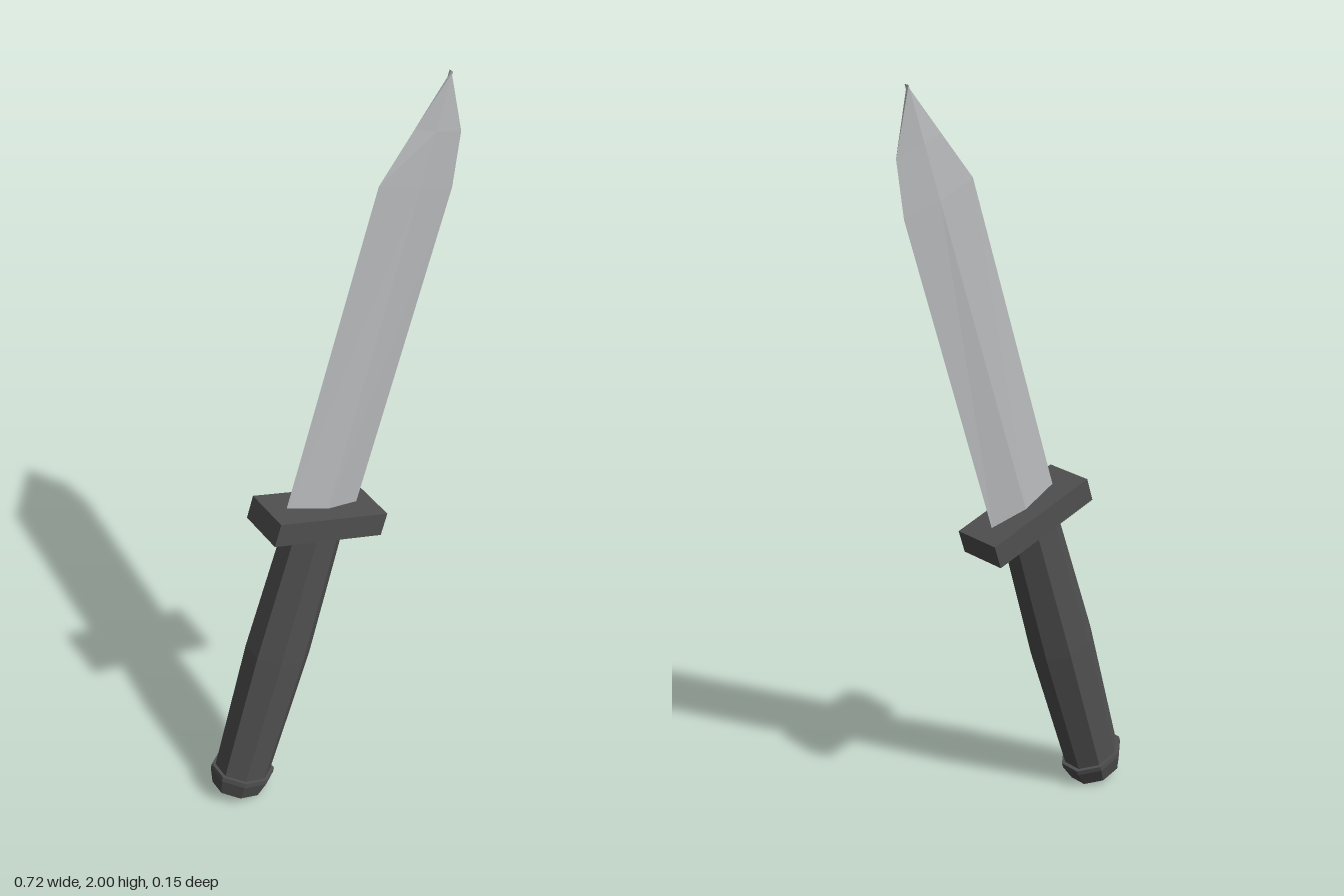
import * as THREE from 'three';

const flat = (name, color) => {
  const m = new THREE.MeshStandardMaterial({ color, flatShading: true });
  m.name = name;
  return m;
};

// Diamond-section blade: each station is [height, left edge, ridge x, right edge, ridge half thickness]
function bladeGeometry(stations) {
  const rings = stations.map(([y, left, ridge, right, t]) => [
    [left, y, 0], [ridge, y, t], [right, y, 0], [ridge, y, -t],
  ]);
  const pos = [];
  for (let s = 0; s < rings.length - 1; s++) {
    for (let i = 0; i < 4; i++) {
      const j = (i + 1) % 4;
      const a = rings[s][i], b = rings[s][j], c = rings[s + 1][j], d = rings[s + 1][i];
      pos.push(...a, ...b, ...c, ...a, ...c, ...d);
    }
  }
  const g = new THREE.BufferGeometry();
  g.setAttribute('position', new THREE.Float32BufferAttribute(pos, 3));
  g.computeVertexNormals();
  return g;
}

// Octagonal solid from [apothem, height] points, slightly flattened in z
function octagon(profile) {
  const k = 1 / Math.cos(Math.PI / 8);
  const pts = profile.map(([r, y]) => new THREE.Vector2(r * k, y));
  return new THREE.LatheGeometry(pts, 8, Math.PI / 8).scale(1, 1, 0.88).translate(-0.003, 0, 0);
}

export function createModel() {
  const steel = flat('steel', 0xb8babc);
  const dark = flat('darkGrip', 0x505050);
  const model = new THREE.Group();
  model.name = 'knife';

  const add = (name, geometry, material) => {
    const mesh = new THREE.Mesh(geometry, material);
    mesh.name = name;
    model.add(mesh);
  };

  add('blade', bladeGeometry([
    [0, -0.105, 0.01, 0.112, 0.02],
    [0.915, -0.105, 0.01, 0.114, 0.011],
    [1.059, -0.049, 0.009, 0.09, 0.009],
    [1.206, 0.008, 0.008, 0.008, 0.007],
  ]), steel);

  add('guard', new THREE.BoxGeometry(0.33, 0.065, 0.138), dark);

  // Grip swells slightly at mid length
  add('grip', octagon([[0.073, -0.82], [0.083, -0.414], [0.074, -0.02]]), dark);

  // Pommel with a chamfered lower end
  add('pommel', octagon([[0, -0.867], [0.068, -0.867], [0.083, -0.82], [0.083, -0.806], [0, -0.806]]), dark);

  // Lean the whole knife to its left
  model.position.set(-0.04, 0.85, 0);
  model.rotation.z = THREE.MathUtils.degToRad(-17.2);
  const root = new THREE.Group();
  root.name = 'leaningKnife';
  root.add(model);
  return root;
}
